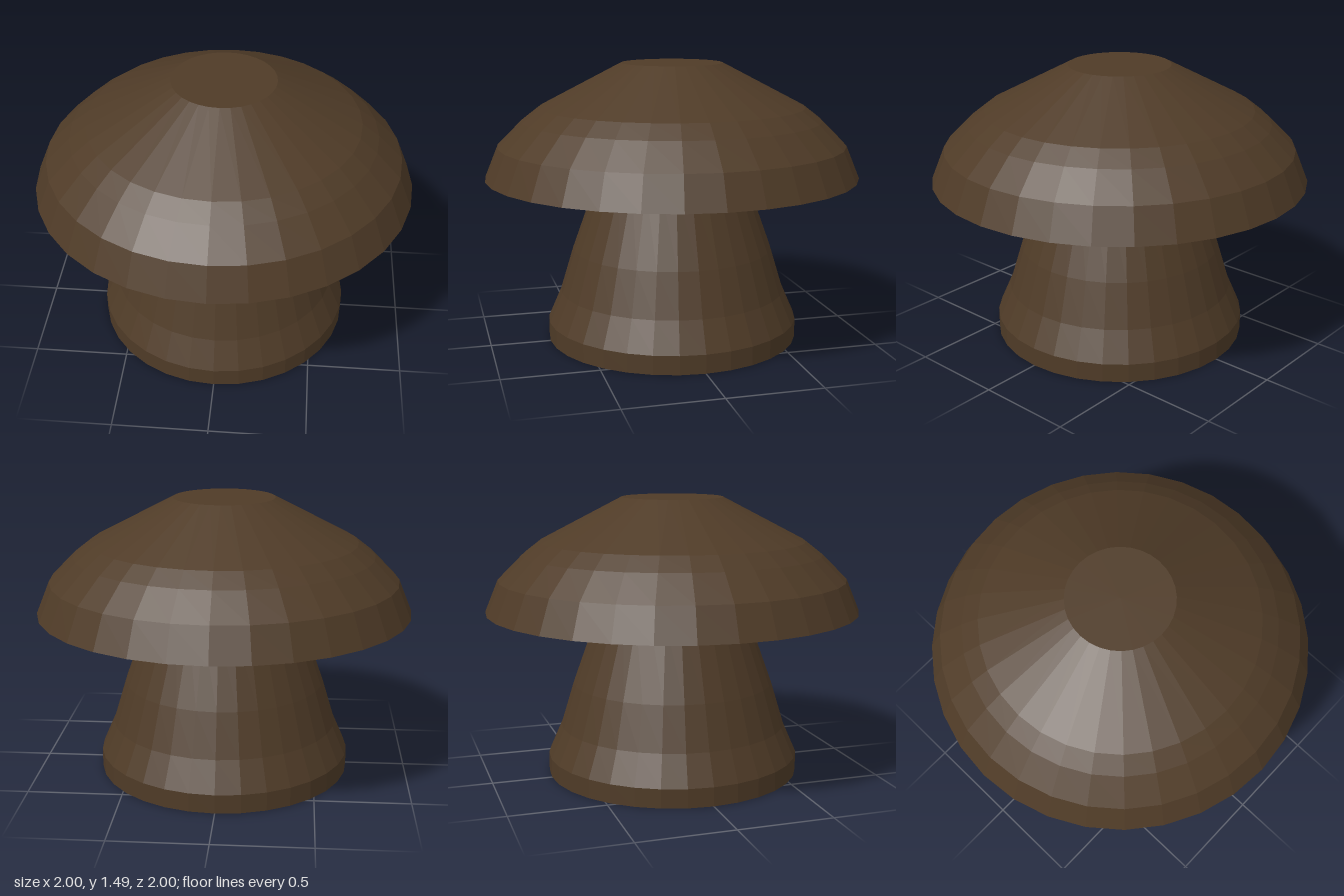
import * as THREE from 'three';

const SIDES = 32;

// Faceted solid of revolution from [radius, height] pairs, listed bottom to top on the outside
function turned(name, profile, material) {
  const points = profile.map(([r, y]) => new THREE.Vector2(r, y));
  const geometry = new THREE.LatheGeometry(points, SIDES).toNonIndexed();
  geometry.computeVertexNormals(); // flat facets
  const mesh = new THREE.Mesh(geometry, material);
  mesh.name = name;
  return mesh;
}

export function createModel() {
  const brown = new THREE.MeshStandardMaterial({ color: 0x4f3b27 });
  brown.name = 'dark brown';

  const group = new THREE.Group();
  group.name = 'mushroom';

  // Stem: straight foot, tapering up into the hollow of the cap
  group.add(turned('stem', [
    [0, 0], [0.68, 0], [0.68, 0.1], [0.61, 0.26], [0.54, 0.49],
    [0.4, 0.88], [0.32, 1.24], [0, 1.24],
  ], brown));

  // Cap: flat ceiling, sloping underside, flat rim, then the domed outside
  group.add(turned('cap', [
    [0, 1.23], [0.39, 1.23], [0.93, 0.89], [1, 0.89], [0.93, 1.06],
    [0.8, 1.19], [0.71, 1.26], [0.27, 1.49], [0, 1.49],
  ], brown));

  return group;
}
